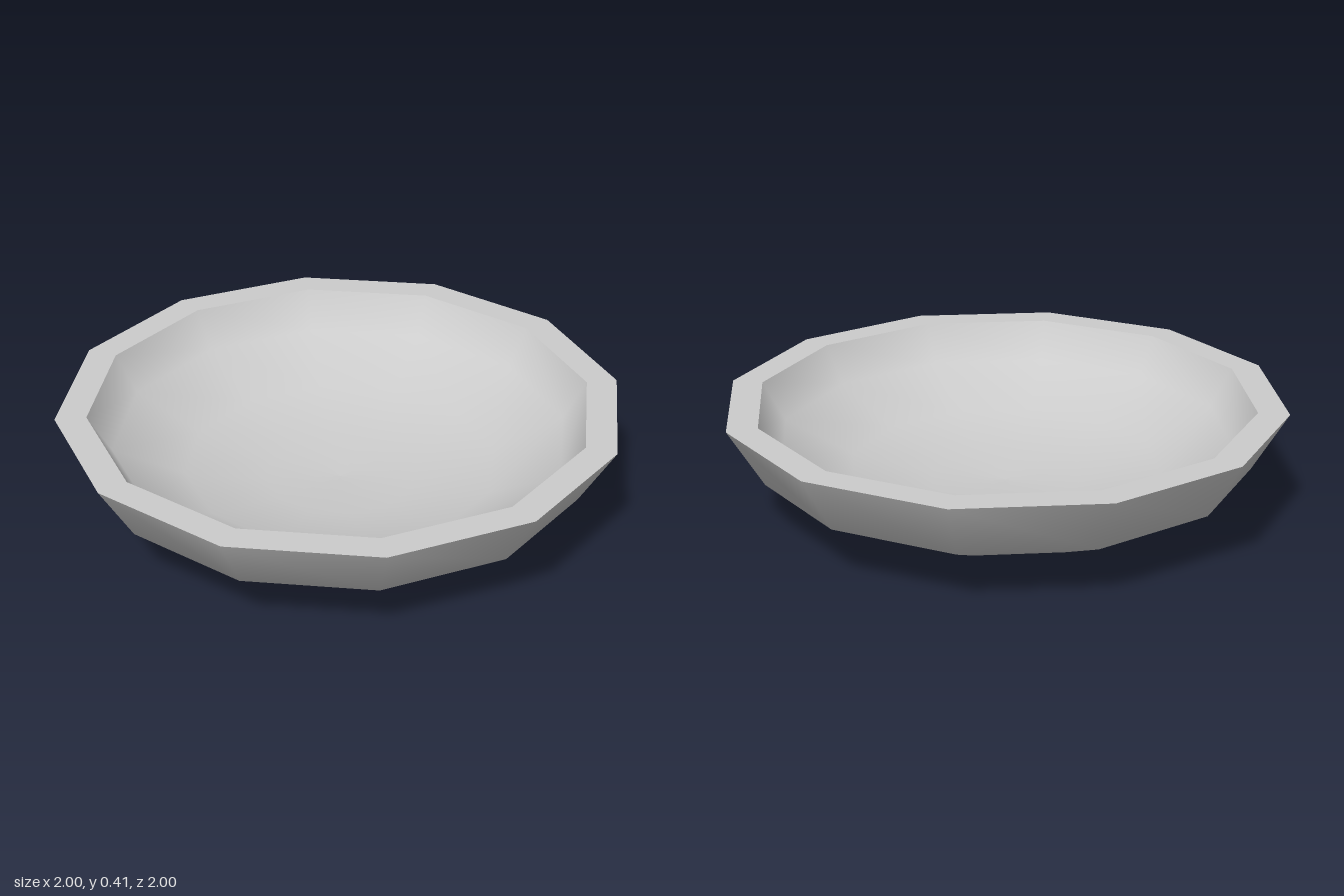
import * as THREE from 'three';

const SIDES = 12;

// Revolve a [radius, height] profile; upward order faces out, downward faces in
function turned(name, profile, material) {
  const points = profile.map(([r, y]) => new THREE.Vector2(r, y));
  const mesh = new THREE.Mesh(new THREE.LatheGeometry(points, SIDES), material);
  mesh.name = name;
  return mesh;
}

export function createModel() {
  const group = new THREE.Group();
  group.name = 'bowl';
  const material = new THREE.MeshStandardMaterial({ color: 0xcccccc });

  const outer = [[0, 0], [0.28, 0.01], [0.59, 0.065], [0.875, 0.2], [1, 0.41]];
  const inner = [[0.89, 0.41], [0.81, 0.272], [0.56, 0.156], [0.27, 0.104], [0, 0.094]];

  // Separate surfaces keep the rim edges sharp while the walls stay smooth
  group.add(
    turned('outerShell', outer, material),
    turned('rim', [outer[4], inner[0]], material),
    turned('innerShell', inner, material),
  );
  return group;
}
